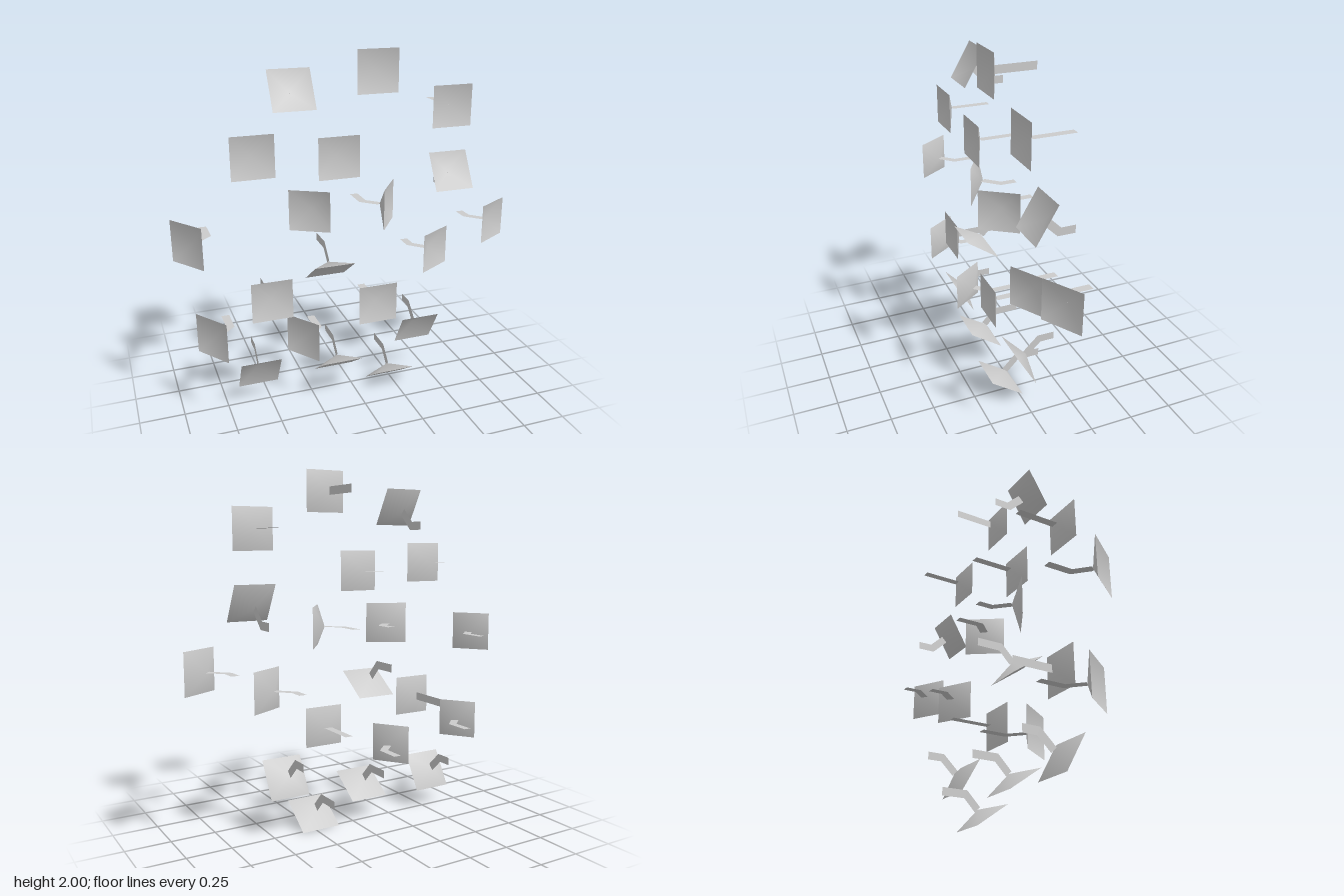
import * as THREE from 'three';

const HALF = 0.115;      // half the side of a square panel
const DEPTH = 0.052;     // how far the panel's centre is pushed back
const ARM_HALF = 0.0225; // half the width of a flat arm

// lean kinds: tilt angle, z of the panel, arm path as [y, z] from panel to back end
const KINDS = {
  flat: { tilt: 0, z: 0.113, path: [[0, 0.062], [0, -0.17]] },
  slight: { tilt: Math.PI / 6, z: 0.044, path: [[-0.028, 0.002], [-0.107, -0.08], [-0.107, -0.17]] },
  steep: { tilt: THREE.MathUtils.degToRad(55), z: 0.075, path: [[-0.042, 0.045], [-0.118, -0.028], [-0.118, -0.17]] },
};

// roll about z: the direction towards which the panel leans
const UP = 0, DOWN = Math.PI, RIGHT = Math.PI / 2, LEFT = -Math.PI / 2;

// x, y, kind, direction
const LAYOUT = [
  [-0.335, 1.805, 'slight', UP],
  [0.110, 1.885, 'flat', UP],
  [0.546, 1.677, 'flat', RIGHT],
  [-0.566, 1.488, 'flat', RIGHT],
  [-0.104, 1.446, 'flat', RIGHT],
  [0.593, 1.292, 'slight', UP],
  [-0.253, 1.144, 'slight', RIGHT],
  [0.198, 1.144, 'steep', LEFT],
  [-0.921, 1.050, 'steep', RIGHT],
  [0.884, 0.956, 'slight', LEFT],
  [-0.150, 0.793, 'steep', DOWN],
  [0.512, 0.820, 'slight', LEFT],
  [-0.493, 0.678, 'flat', UP],
  [-0.826, 0.493, 'steep', RIGHT],
  [0.127, 0.560, 'flat', RIGHT],
  [-0.314, 0.401, 'steep', RIGHT],
  [-0.566, 0.204, 'slight', DOWN],
  [-0.104, 0.190, 'steep', DOWN],
  [0.406, 0.319, 'slight', DOWN],
  [0.219, 0.067, 'steep', DOWN],
];

function build(positions, index) {
  const g = new THREE.BufferGeometry();
  g.setAttribute('position', new THREE.Float32BufferAttribute(positions, 3));
  g.setIndex(index);
  g.computeVertexNormals();
  return g;
}

// square sheet dished into a shallow pyramid, open to the front
function panelGeometry() {
  const h = HALF;
  return build(
    [-h, -h, 0, h, -h, 0, h, h, 0, -h, h, 0, 0, 0, -DEPTH],
    [0, 1, 4, 1, 2, 4, 2, 3, 4, 3, 0, 4]
  );
}

// flat ribbon of constant width along a path in the y-z plane, mitred at the bend
function armGeometry(path) {
  const pts = path.map(([y, z]) => new THREE.Vector2(z, y));
  const normals = pts.slice(1).map((p, i) => {
    const d = p.clone().sub(pts[i]).normalize();
    return new THREE.Vector2(-d.y, d.x);
  });
  const positions = [], index = [];
  pts.forEach((p, i) => {
    const a = normals[Math.max(i - 1, 0)];
    const b = normals[Math.min(i, normals.length - 1)];
    const m = a.clone().add(b).normalize();
    m.multiplyScalar(ARM_HALF / m.dot(a));
    positions.push(0, p.y + m.y, p.x + m.x, 0, p.y - m.y, p.x - m.x);
    if (i > 0) {
      const k = 2 * i;
      index.push(k - 2, k - 1, k, k, k - 1, k + 1);
    }
  });
  return build(positions, index);
}

export function createModel() {
  const model = new THREE.Group();
  model.name = 'wallPanels';
  const material = new THREE.MeshStandardMaterial({ color: 0xcccccc, side: THREE.DoubleSide });

  const panelGeo = panelGeometry();
  const armGeos = {};
  for (const kind in KINDS) armGeos[kind] = armGeometry(KINDS[kind].path);

  LAYOUT.forEach(([x, y, kind, roll], i) => {
    const unit = new THREE.Group();
    unit.name = `panelUnit${i + 1}`;

    const panel = new THREE.Mesh(panelGeo, material);
    panel.name = 'panel';
    panel.position.z = KINDS[kind].z;
    panel.rotation.x = -KINDS[kind].tilt;

    const arm = new THREE.Mesh(armGeos[kind], material);
    arm.name = 'arm';

    unit.add(panel, arm);
    unit.position.set(x, y, 0);
    unit.rotation.z = roll;
    model.add(unit);
  });
  return model;
}
